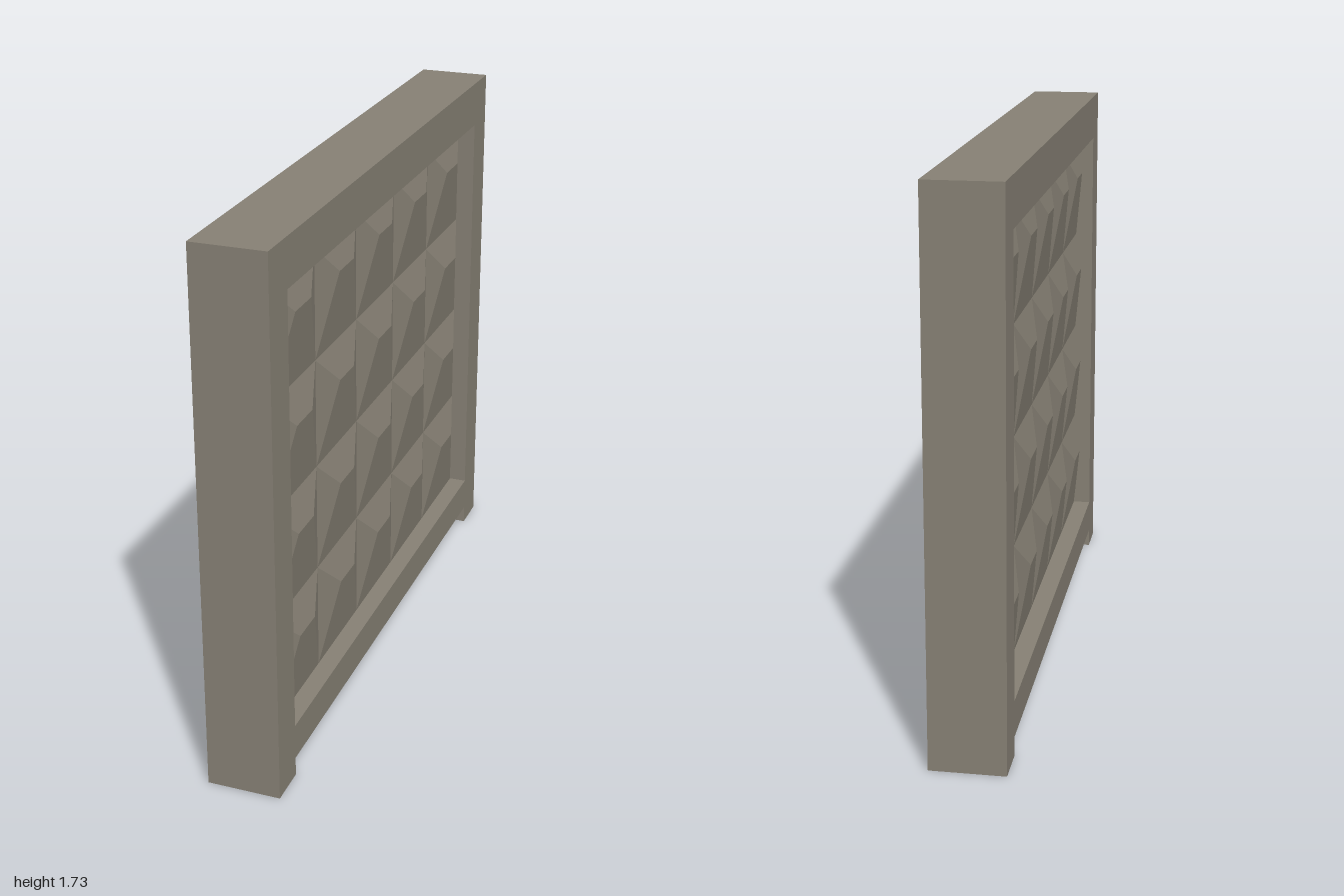
import * as THREE from 'three';

const HALF_T = 0.117, HEIGHT = 1.73;      // panel half thickness and height
const OPEN = 0.872, Y0 = 0.176, Y1 = 1.58; // recessed field
const FOOT = 0.061, RECESS = 0.06;
const COLS = 5, ROWS = 4, RELIEF = 0.035;

// Hipped relief tile facing +z: ridge set close to the top edge
function tileGeometry(w, h) {
  const x = w / 2, y = h / 2, rx = 0.06, ry = y - 0.105;
  const bl = [-x, -y, 0], br = [x, -y, 0], tr = [x, y, 0], tl = [-x, y, 0];
  const rl = [-rx, ry, RELIEF], rr = [rx, ry, RELIEF];
  const faces = [
    bl, br, rr, bl, rr, rl, // long lower slope
    rl, rr, tr, rl, tr, tl, // short upper slope
    tl, bl, rl,             // sides
    br, tr, rr,
  ];
  const g = new THREE.BufferGeometry();
  g.setAttribute('position', new THREE.Float32BufferAttribute(faces.flat(), 3));
  g.computeVertexNormals();
  return g;
}

export function createModel() {
  const model = new THREE.Group();
  model.name = 'concreteFencePanel';
  const concrete = new THREE.MeshStandardMaterial({ color: 0x868074 });
  concrete.name = 'concrete';

  // Frame with two short feet and a rectangular opening
  const outline = new THREE.Shape([
    [-1, 0], [-OPEN, 0], [-OPEN, FOOT], [OPEN, FOOT],
    [OPEN, 0], [1, 0], [1, HEIGHT], [-1, HEIGHT],
  ].map(([x, y]) => new THREE.Vector2(x, y)));
  outline.holes.push(new THREE.Path([
    [-OPEN, Y0], [-OPEN, Y1], [OPEN, Y1], [OPEN, Y0],
  ].map(([x, y]) => new THREE.Vector2(x, y))));
  const frameGeo = new THREE.ExtrudeGeometry(outline, { depth: HALF_T * 2, bevelEnabled: false });
  frameGeo.translate(0, 0, -HALF_T).rotateY(Math.PI / 2);
  const frame = new THREE.Mesh(frameGeo, concrete);
  frame.name = 'frame';
  model.add(frame);

  // Core slab filling the opening
  const baseX = HALF_T - RECESS;
  const core = new THREE.Mesh(
    new THREE.BoxGeometry((baseX - 0.001) * 2, Y1 - Y0, OPEN * 2), concrete);
  core.position.y = (Y0 + Y1) / 2;
  core.name = 'coreSlab';
  model.add(core);

  // Relief tiles on both faces
  const w = OPEN * 2 / COLS, h = (Y1 - 0.005 - Y0) / ROWS;
  const tile = tileGeometry(w, h);
  for (const side of [1, -1]) {
    const field = new THREE.Group();
    field.name = side > 0 ? 'leftRelief' : 'rightRelief';
    field.rotation.y = side * Math.PI / 2;
    for (let r = 0; r < ROWS; r++) {
      for (let c = 0; c < COLS; c++) {
        const mesh = new THREE.Mesh(tile, concrete);
        mesh.name = 'reliefTile';
        mesh.position.set(-OPEN + (c + 0.5) * w, Y0 + (r + 0.5) * h, baseX);
        field.add(mesh);
      }
    }
    model.add(field);
  }
  return model;
}
